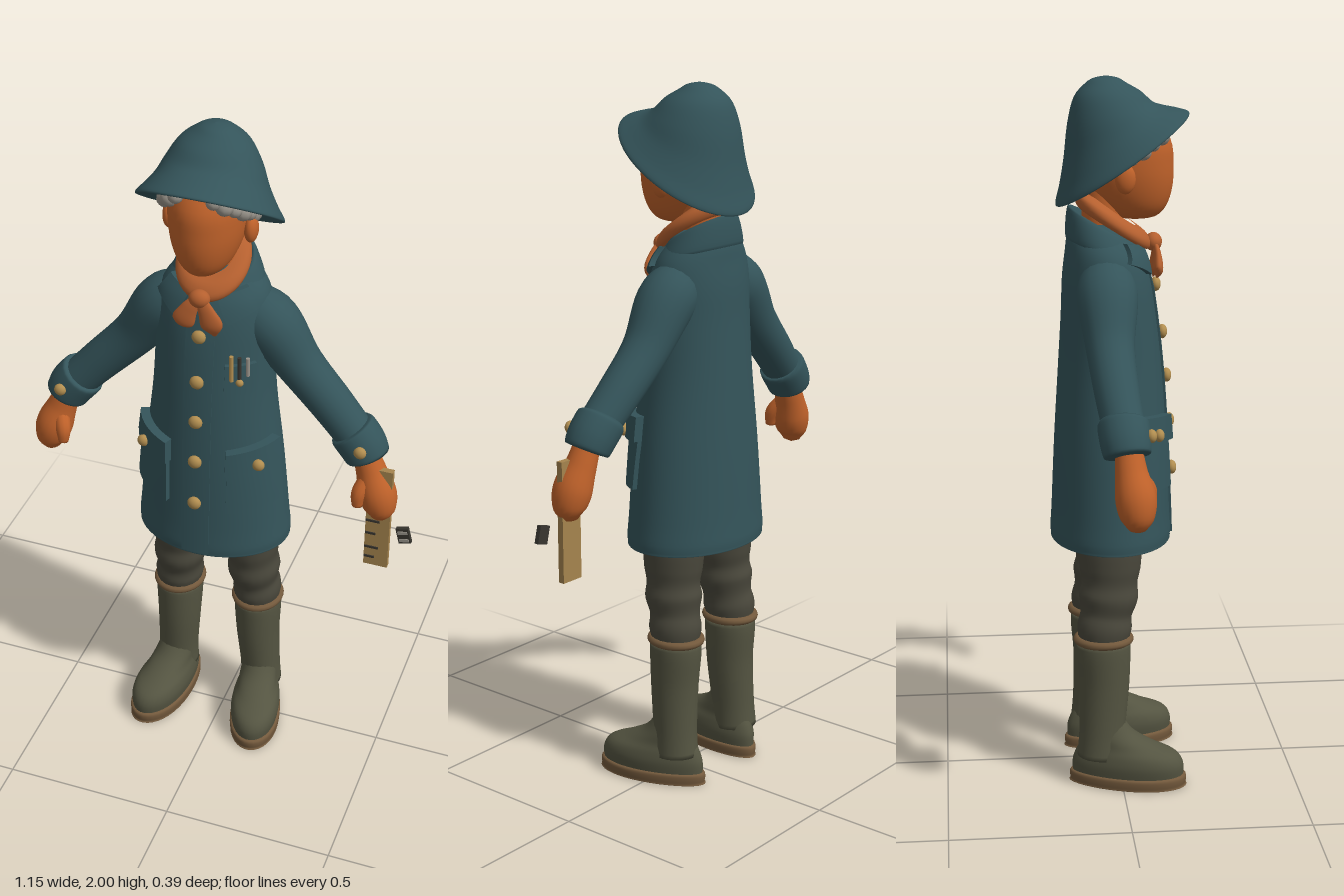
import * as THREE from 'three';
import { mergeVertices } from 'three/addons/utils/BufferGeometryUtils.js';

const material = (name, color) => Object.assign(new THREE.MeshStandardMaterial({ color }), { name });
const coatCloth = material('coat cloth', 0x34545a);
const skin = material('skin', 0xc0622a);
const scarfCloth = material('scarf cloth', 0xb5602f);
const hairGrey = material('grey hair', 0x98938a);
const trouserCloth = material('trouser cloth', 0x4a483c);
const rubber = material('boot rubber', 0x545441);
const trim = material('boot trim', 0x73593c);
const brass = material('brass', 0xb28e50);
const wood = material('ruler wood', 0xa5844e);
const dark = material('dark marks', 0x38352f);

const add = (parent, name, geo, mat, x = 0, y = 0, z = 0) => {
  const m = new THREE.Mesh(geo, mat);
  m.name = name;
  m.position.set(x, y, z);
  parent.add(m);
  return m;
};

// Catmull-Rom blend of two neighbouring rows, value by value
function sample(rows, t) {
  const i = Math.min(Math.floor(t), rows.length - 2), f = t - i;
  const at = k => rows[Math.max(0, Math.min(rows.length - 1, k))];
  return rows[i].map((b, k) => {
    const a = at(i - 1)[k], c = at(i + 1)[k], d = at(i + 2)[k];
    return b + 0.5 * f * (c - a + f * (2 * a - 5 * b + 4 * c - d + f * (3 * (b - c) + d - a)));
  });
}
const refine = (rows, n) => {
  const count = (rows.length - 1) * n;
  return Array.from({ length: count + 1 }, (_, i) => sample(rows, i / n));
};

// Elliptical rings [y, centre z, radius x, radius z, tilt], joined into a smooth skin
function stack(rows, n = 4, seg = 40) {
  const rings = refine(rows, n), pos = [], idx = [];
  for (const [y, cz, rx, rz, tilt] of rings) {
    for (let j = 0; j < seg; j++) {
      const a = j / seg * Math.PI * 2, s = Math.sin(a);
      pos.push(rx * Math.cos(a), y + tilt * s, cz + rz * s);
    }
  }
  for (let i = 0; i < rings.length - 1; i++) {
    for (let j = 0; j < seg; j++) {
      const a = i * seg + j, b = i * seg + (j + 1) % seg;
      idx.push(a, a + seg, b, b, a + seg, b + seg);
    }
  }
  const g = new THREE.BufferGeometry();
  g.setAttribute('position', new THREE.Float32BufferAttribute(pos, 3));
  g.setIndex(idx);
  g.computeVertexNormals();
  return g;
}

// Tube of changing radius through points [x, y, z, radius], closed at both ends
function limb(points, flat = 1, seg = 28, sides = 20) {
  const curve = new THREE.CatmullRomCurve3(points.map(p => new THREE.Vector3(p[0], p[1], p[2])));
  let g = new THREE.TubeGeometry(curve, seg, 1, sides);
  const p = g.attributes.position, v = new THREE.Vector3();
  for (let i = 0; i <= seg; i++) {
    const c = curve.getPointAt(i / seg);
    const t = curve.getUtoTmapping(i / seg) * (points.length - 1);
    const r = i === 0 || i === seg ? 0 : sample(points, t)[3];
    for (let j = 0; j <= sides; j++) {
      const k = i * (sides + 1) + j;
      v.fromBufferAttribute(p, k).sub(c).multiplyScalar(r);
      v.z *= flat;
      v.add(c);
      p.setXYZ(k, v.x, v.y, v.z);
    }
  }
  g.deleteAttribute('uv');
  g.deleteAttribute('normal');
  g = mergeVertices(g, 1e-5);
  g.computeVertexNormals();
  return g;
}

const coatRows = [
  [0.72, -0.02, 0, 0, 0], [0.712, -0.02, 0.2, 0.15, 0], [0.718, -0.02, 0.225, 0.17, 0],
  [0.8, -0.02, 0.219, 0.167, 0], [1.0, -0.02, 0.2, 0.158, 0], [1.2, -0.021, 0.176, 0.145, 0],
  [1.35, -0.025, 0.168, 0.132, 0], [1.45, -0.031, 0.164, 0.122, 0], [1.52, -0.038, 0.15, 0.107, 0],
  [1.57, -0.05, 0.115, 0.088, 0], [1.6, -0.05, 0.08, 0.07, 0], [1.61, -0.05, 0, 0, 0]];
const coatRings = refine(coatRows.slice(2), 10);

// Point on the coat front at (x, y), lifted outwards
function onCoat(x, y, lift = 0) {
  const k = Math.max(1, coatRings.findIndex(r => r[0] >= y));
  const a = coatRings[k - 1], b = coatRings[k], f = (y - a[0]) / (b[0] - a[0]);
  const [, cz, rx, rz] = a.map((v, i) => v + (b[i] - v) * f);
  const u = Math.max(-0.97, Math.min(0.97, x / rx)), w = Math.sqrt(1 - u * u);
  const nx = u / rx, nz = w / rz, l = Math.hypot(nx, nz);
  return [u * rx + nx / l * lift, y, cz + rz * w + nz / l * lift];
}

// Cloth panel following the coat; corners: bottom left, bottom right, top right, top left
function panel(corners, thick) {
  const g = new THREE.BoxGeometry(1, 1, 1, 10, 10, 1), p = g.attributes.position;
  const [a, b, c, d] = corners;
  for (let i = 0; i < p.count; i++) {
    const u = p.getX(i) + 0.5, v = p.getY(i) + 0.5;
    const q = [0, 1].map(k => (a[k] * (1 - u) + b[k] * u) * (1 - v) + (d[k] * (1 - u) + c[k] * u) * v);
    p.setXYZ(i, ...onCoat(q[0], q[1], p.getZ(i) > 0 ? thick : -0.01));
  }
  g.computeVertexNormals();
  return g;
}
const rect = (x0, x1, y0, y1) => [[x0, y0], [x1, y0], [x1, y1], [x0, y1]];
const ball = (sx, sy, sz) => new THREE.SphereGeometry(1, 16, 12).scale(sx, sy, sz);

function buildHead(body) {
  add(body, 'head', stack([
    [1.612, 0.05, 0, 0, 0], [1.62, 0.05, 0.04, 0.055, 0], [1.65, 0.045, 0.07, 0.09, 0],
    [1.7, 0.032, 0.092, 0.119, 0], [1.76, 0.021, 0.104, 0.133, 0], [1.83, 0.01, 0.105, 0.135, 0],
    [1.9, -0.01, 0.085, 0.1, 0], [1.94, -0.02, 0, 0, 0]]), skin);
  add(body, 'neck', new THREE.CylinderGeometry(0.055, 0.06, 0.2, 24), skin, 0, 1.63, -0.04);
  for (const s of [1, -1]) {
    add(body, 'ear', ball(0.019, 0.04, 0.028), skin, s * 0.113, 1.735, 0.012);
    // Curls along the hairline
    for (let i = 0; i < 8; i++) {
      const t = i / 7, a = 1.1 - t * 1.75;
      add(body, 'hairCurl', new THREE.SphereGeometry(0.021 + 0.004 * (i % 2), 10, 8), hairGrey,
        s * 0.113 * Math.cos(a), 1.862 - t * 0.125, 0.015 + 0.128 * Math.sin(a));
    }
  }
  add(body, 'hat', stack([
    [1.87, -0.015, 0.11, 0.11, 0.05], [1.81, 0, 0.14, 0.14, 0.09], [1.775, 0.012, 0.188, 0.175, 0.12],
    [1.782, 0.012, 0.195, 0.181, 0.122], [1.81, 0.002, 0.174, 0.16, 0.103], [1.85, -0.01, 0.149, 0.136, 0.07],
    [1.9, -0.02, 0.127, 0.116, 0.03], [1.95, -0.027, 0.096, 0.091, 0.008], [1.98, -0.03, 0.058, 0.056, 0],
    [1.994, -0.03, 0.032, 0.032, 0], [2.0, -0.03, 0, 0, 0]], 4, 48), coatCloth).material.side = THREE.DoubleSide;
}

function buildCoat(body) {
  add(body, 'coat', stack(coatRows, 5, 48), coatCloth);
  add(body, 'collar', stack([
    [1.545, -0.035, 0.11, 0.09, -0.03], [1.535, -0.035, 0.134, 0.107, -0.03], [1.575, -0.042, 0.118, 0.1, -0.04],
    [1.602, -0.045, 0.098, 0.09, -0.05], [1.58, -0.045, 0.08, 0.08, -0.05]]), coatCloth);
  add(body, 'placket', panel(rect(-0.04, 0.04, 0.72, 1.5), 0.006), coatCloth);
  for (const y of [1.43, 1.295, 1.17, 1.04, 0.9]) {
    add(body, 'button', ball(0.02, 0.02, 0.014), brass, ...onCoat(0, y, 0.012));
  }
  for (const s of [1, -1]) {
    const side = c => c.map(([x, y]) => [s * x, y]);
    const order = c => s > 0 ? c : [c[1], c[0], c[3], c[2]];
    const place = c => order(side(c));
    add(body, 'collarPoint', panel(place([[0.07, 1.47], [0.135, 1.51], [0.1, 1.56], [0.035, 1.545]]), 0.016), coatCloth);
    add(body, 'pocket', panel(place([[0.085, 0.875], [0.202, 0.885], [0.19, 1.05], [0.085, 1.05]]), 0.014), coatCloth);
    add(body, 'pocketFlap', panel(place([[0.08, 1.01], [0.192, 1.025], [0.186, 1.095], [0.08, 1.08]]), 0.026), coatCloth);
    add(body, 'pocketButton', ball(0.018, 0.018, 0.014), brass, ...onCoat(s * 0.15, 1.04, 0.03));
  }
  // Chest pocket with pencils
  add(body, 'chestPocket', panel(rect(0.07, 0.14, 1.26, 1.35), 0.012), coatCloth);
  [brass, dark, hairGrey].forEach((mat, i) => {
    const [x, y, z] = onCoat(0.085 + i * 0.018, 1.345, 0.014);
    add(body, 'pencil', new THREE.CylinderGeometry(0.006, 0.006, 0.08 - i * 0.012, 8), mat, x, y, z);
  });
  add(body, 'chestButton', ball(0.011, 0.011, 0.009), brass, ...onCoat(0.105, 1.3, 0.014));

  // Neck scarf
  add(body, 'scarf', stack([
    [1.59, -0.01, 0.075, 0.075, -0.055], [1.588, -0.01, 0.094, 0.096, -0.058], [1.608, -0.012, 0.102, 0.104, -0.058],
    [1.632, -0.018, 0.092, 0.095, -0.055], [1.645, -0.02, 0.065, 0.07, -0.05]]), scarfCloth);
  add(body, 'scarfKnot', ball(0.03, 0.026, 0.024), scarfCloth, 0, 1.548, 0.1);
  for (const [x, y] of [[-0.052, 1.455], [0.045, 1.44]]) {
    add(body, 'scarfTail', limb([[0, 1.555, 0.1, 0.014], [x * 0.5, 1.515, 0.108, 0.024],
      [x * 0.85, 1.475, 0.108, 0.031], [x, y, 0.104, 0.004]], 0.45), scarfCloth);
  }
}

function buildArm(body, s) {
  add(body, 'sleeve', limb([[s * 0.08, 1.47, -0.04, 0.07], [s * 0.15, 1.425, -0.04, 0.083], [s * 0.24, 1.305, -0.04, 0.066],
    [s * 0.34, 1.2, -0.03, 0.06], [s * 0.435, 1.1, -0.015, 0.056]]), coatCloth);
  add(body, 'cuff', limb([[s * 0.395, 1.145, -0.02, 0.06], [s * 0.403, 1.135, -0.02, 0.068], [s * 0.432, 1.1, -0.017, 0.068],
    [s * 0.45, 1.07, -0.014, 0.064], [s * 0.455, 1.06, -0.013, 0.058]], 1, 20), coatCloth);
  add(body, 'cuffButton', ball(0.018, 0.018, 0.014), brass, s * 0.445, 1.115, 0.05);
  add(body, 'hand', limb([[s * 0.44, 1.09, -0.01, 0.036], [s * 0.465, 1.025, -0.005, 0.043], [s * 0.489, 0.96, 0.005, 0.054],
    [s * 0.5, 0.91, 0.008, 0.045], [s * 0.497, 0.873, 0.008, 0.02]]), skin);
  add(body, 'thumb', limb([[s * 0.462, 1.01, 0.015, 0.022], [s * 0.446, 0.97, 0.042, 0.022],
    [s * 0.445, 0.925, 0.05, 0.014]], 1, 14, 12), skin);
}

function buildLeg(body, s) {
  // Trouser leg with soft folds
  add(body, 'trouserLeg', limb([[s * 0.108, 0.8, -0.03, 0.07], [s * 0.11, 0.72, -0.03, 0.083], [s * 0.112, 0.645, -0.03, 0.08],
    [s * 0.115, 0.6, -0.032, 0.073], [s * 0.117, 0.56, -0.035, 0.078], [s * 0.12, 0.51, -0.042, 0.068],
    [s * 0.124, 0.47, -0.047, 0.072], [s * 0.125, 0.42, -0.05, 0.064]], 1.08, 40), trouserCloth);
  add(body, 'bootShaft', limb([[s * 0.125, 0.44, -0.05, 0.068], [s * 0.126, 0.4, -0.05, 0.07], [s * 0.128, 0.3, -0.048, 0.065],
    [s * 0.135, 0.16, -0.055, 0.06], [s * 0.138, 0.07, -0.06, 0.062]], 1.1), rubber);
  add(body, 'bootRim', new THREE.TorusGeometry(0.066, 0.012, 10, 32).rotateX(Math.PI / 2).scale(1, 1, 1.1), trim, s * 0.125, 0.435, -0.05);
  const foot = new THREE.Group();
  foot.name = 'foot';
  foot.position.set(s * 0.144, 0, 0);
  foot.rotation.y = s * 0.2;
  body.add(foot);
  const taper = g => {
    const p = g.attributes.position;
    for (let i = 0; i < p.count; i++) p.setX(i, p.getX(i) * (0.95 + 1.1 * p.getZ(i)));
    g.computeVertexNormals();
    return g;
  };
  add(foot, 'bootFoot', taper(stack([[0.03, 0.018, 0.07, 0.16, 0], [0.065, 0.018, 0.075, 0.16, 0],
    [0.095, 0.013, 0.071, 0.145, 0], [0.12, -0.01, 0.062, 0.11, 0], [0.155, -0.04, 0.058, 0.076, 0],
    [0.21, -0.055, 0.045, 0.05, 0]])), rubber);
  add(foot, 'sole', taper(stack([[0, 0.018, 0, 0, 0], [0, 0.018, 0.068, 0.155, 0], [0.006, 0.018, 0.075, 0.166, 0],
    [0.03, 0.018, 0.077, 0.168, 0], [0.036, 0.018, 0.068, 0.155, 0]])), trim);
}

export function createModel() {
  const model = new THREE.Group();
  model.name = 'figure';
  const body = new THREE.Group();
  body.name = 'body';
  body.position.x = -0.033;
  model.add(body);
  buildHead(body);
  buildCoat(body);
  for (const s of [1, -1]) {
    buildArm(body, s);
    buildLeg(body, s);
  }
  // Ruler in the left hand, with its marks
  add(model, 'ruler', new THREE.BoxGeometry(0.07, 0.34, 0.018), wood, 0.466, 0.875, 0.01);
  [0.925, 0.865, 0.82, 0.77, 0.735].forEach((y, i) => {
    const w = i % 2 ? 0.04 : 0.03;
    add(model, 'rulerMark', new THREE.BoxGeometry(w, 0.007, 0.004), dark, 0.432 + w / 2, y, 0.02);
  });
  // Small loose tag beside the ruler
  const tag = add(model, 'tag', new THREE.BoxGeometry(0.036, 0.05, 0.013), dark, 0.547, 0.85, 0.033);
  tag.rotation.z = 0.25;
  for (const y of [-0.014, 0.012]) add(tag, 'tagStripe', new THREE.BoxGeometry(0.028, 0.009, 0.004), hairGrey, 0, y, 0.007);
  return model;
}
